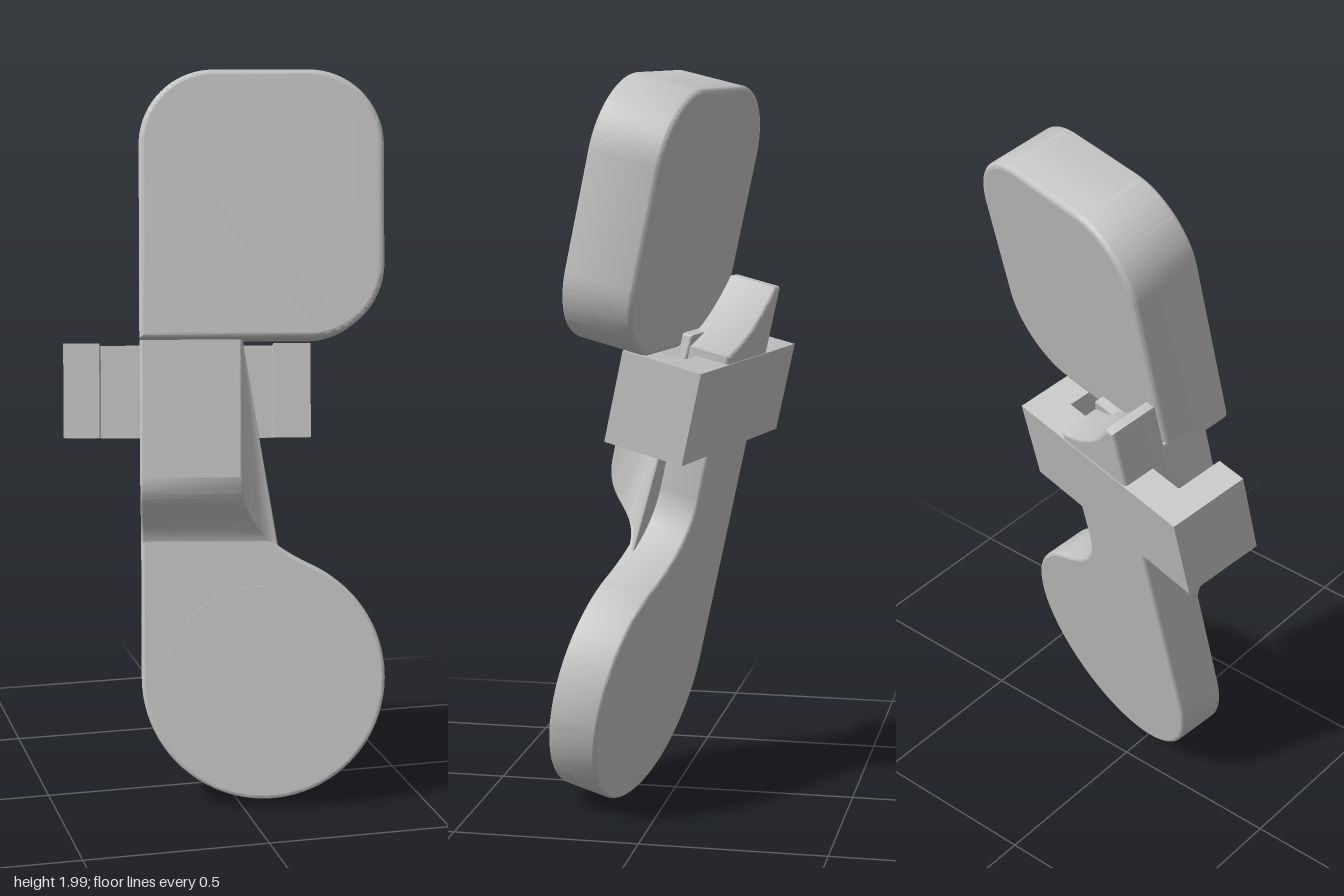
import * as THREE from 'three';
import { toCreasedNormals } from 'three/addons/utils/BufferGeometryUtils.js';

const RAD = Math.PI / 180;

// Extrude a shape from z0 to z1 with softly rounded rims that stay inside the outline.
function slab(shape, z0, z1, bevel) {
  const geo = new THREE.ExtrudeGeometry(shape, {
    depth: z1 - z0 - 2 * bevel,
    bevelEnabled: true,
    bevelThickness: bevel,
    bevelSize: bevel,
    bevelOffset: -bevel,
    bevelSegments: 4,
    curveSegments: 28,
  });
  return geo.translate(0, 0, z0 + bevel);
}

// Smooth the rounded rims but keep the large front and back faces perfectly flat.
function smooth(geo) {
  const out = toCreasedNormals(geo, 35 * RAD);
  const { position, normal } = out.attributes;
  const a = new THREE.Vector3(), b = new THREE.Vector3(), c = new THREE.Vector3();
  const face = new THREE.Vector3();
  for (let i = 0; i < position.count; i += 3) {
    a.fromBufferAttribute(position, i);
    b.fromBufferAttribute(position, i + 1);
    c.fromBufferAttribute(position, i + 2);
    THREE.Triangle.getNormal(a, b, c, face);
    if (Math.abs(face.z) < 0.999) continue;
    for (let k = 0; k < 3; k++) normal.setXYZ(i + k, 0, 0, Math.sign(face.z));
  }
  return out;
}

export function createModel() {
  const grey = new THREE.MeshStandardMaterial({ color: 0xc4c4c4 });
  grey.name = 'plain grey';

  const model = new THREE.Group();
  model.name = 'clipOnPaddle';

  // Everything is built upright, then leaned back and turned to one side.
  const body = new THREE.Group();
  body.name = 'tiltedBody';
  body.rotation.set(-12.5 * RAD, -13 * RAD, 0, 'YXZ');
  model.add(body);

  const add = (name, geo) => {
    const mesh = new THREE.Mesh(smooth(geo), grey);
    mesh.name = name;
    body.add(mesh);
  };

  const left = -0.226;

  // Base plate: round foot, filleted neck and the curved fin at the top
  const cx = 0.107, cy = 0.32, r = 0.333, a = 65 * RAD;
  const base = new THREE.Shape();
  base.moveTo(left, 1.42);
  base.lineTo(left, cy);
  base.absarc(cx, cy, r, Math.PI, 2 * Math.PI + a, false);
  base.quadraticCurveTo(0.05, 0.714, 0.05, 0.85);
  base.lineTo(0.05, 1.25);
  base.quadraticCurveTo(-0.1, 1.29, -0.195, 1.42);
  base.closePath();
  add('basePlate', slab(base, 0.092, 0.235, 0.01));

  // Raised round pad on the foot
  const pad = new THREE.CylinderGeometry(0.262, 0.262, 0.03, 72);
  pad.rotateX(Math.PI / 2);
  pad.translate(0.1, 0.307, 0.233);
  add('footPad', pad);

  // Stem swelling forward from the neck up to the head (side profile, x = -depth)
  const profile = new THREE.Shape();
  profile.moveTo(-0.21, 1.28);
  profile.lineTo(-0.37, 1.28);
  profile.lineTo(-0.37, 0.88);
  profile.bezierCurveTo(-0.37, 0.76, -0.255, 0.78, -0.228, 0.67);
  profile.lineTo(-0.21, 0.67);
  profile.closePath();
  const stem = slab(profile, left, 0.05, 0.008);
  stem.rotateY(Math.PI / 2);
  // The right side of the stem flares outward along the neck fillet.
  const p = stem.attributes.position;
  for (let i = 0; i < p.count; i++) {
    const drop = Math.max(0, 0.85 - p.getY(i)) / 0.2;
    if (p.getX(i) > 0) p.setX(i, p.getX(i) + 0.13 * drop * drop);
  }
  add('stem', stem);

  // Head: three rounded corners and one square corner above the stem
  const right = 0.427, bottom = 1.237, top = 1.953, c = 0.2;
  const head = new THREE.Shape();
  head.moveTo(left, bottom);
  head.lineTo(right - c, bottom);
  head.absarc(right - c, bottom + c, c, -Math.PI / 2, 0, false);
  head.absarc(right - c, top - c, c, 0, Math.PI / 2, false);
  head.absarc(left + c, top - c, c, Math.PI / 2, Math.PI, false);
  head.closePath();
  add('head', slab(head, 0.238, 0.447, 0.015));

  // U-shaped bracket around the back of the stem (plan outline, y = -depth)
  const y0 = 0.975, y1 = 1.23;
  const outline = [[-0.433, -0.093], [0.235, -0.093], [0.235, -0.325], [0.136, -0.325],
    [0.136, -0.188], [-0.336, -0.188], [-0.336, -0.325], [-0.433, -0.325]];
  const plan = new THREE.Shape(outline.map(([x, y]) => new THREE.Vector2(x, y)));
  const bracket = new THREE.ExtrudeGeometry(plan, { depth: y1 - y0, bevelEnabled: false });
  bracket.rotateX(-Math.PI / 2);
  bracket.translate(0, y0, 0);
  // Back face sits just proud of the base plate
  bracket.translate(0, 0, -0.003);
  add('bracket', bracket);

  return model;
}
